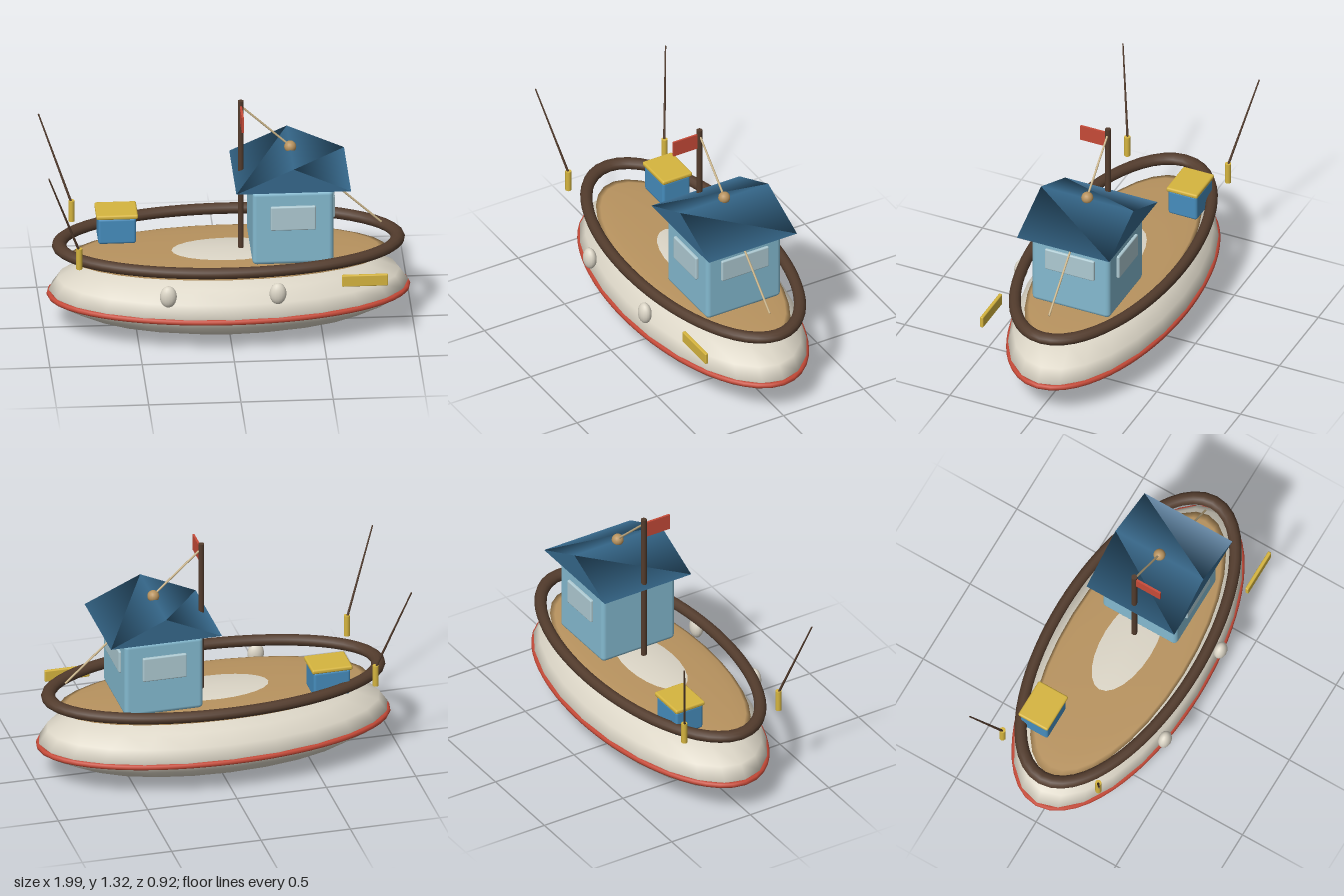
import * as THREE from 'three';
import { RoundedBoxGeometry } from 'three/addons/geometries/RoundedBoxGeometry.js';

const mat = (name, color) => Object.assign(new THREE.MeshStandardMaterial({ color }), { name });
const V = (x, y, z) => new THREE.Vector3(x, y, z);
const ZC = -0.012; // centre line of the boat

export function createModel() {
  const model = new THREE.Group();
  model.name = 'boat';

  const cream = mat('cream paint', 0xdbd5c6);
  const red = mat('red paint', 0xc64a38);
  const tan = mat('tan wood', 0xb8935f);
  const brown = mat('dark brown wood', 0x533c2d);
  const paleBlue = mat('pale blue paint', 0x84bad0);
  const roofBlue = mat('deep blue roof', 0x35678a);
  const glass = mat('window glass', 0xaecad2);
  const yellow = mat('yellow paint', 0xd6b53f);
  const crateBlue = mat('crate blue', 0x468dbd);
  const rope = mat('rope', 0xc8b287);

  const add = (name, geometry, material, x = 0, y = 0, z = 0) => {
    const mesh = new THREE.Mesh(geometry, material);
    mesh.name = name;
    mesh.position.set(x, y, z);
    model.add(mesh);
    return mesh;
  };
  const ellipsoid = (name, material, pos, radii, w = 24, h = 10) => {
    const mesh = add(name, new THREE.SphereGeometry(1, w, h), material, ...pos);
    mesh.scale.set(...radii);
    return mesh;
  };
  const box = (name, material, pos, size, r) =>
    add(name, new RoundedBoxGeometry(...size, 2, r), material, ...pos);
  // Round bar between two points
  const bar = (name, material, a, b, r0, r1 = r0, sides = 8) => {
    const d = b.clone().sub(a);
    const mid = a.clone().add(b).multiplyScalar(0.5);
    const mesh = add(name, new THREE.CylinderGeometry(r1, r0, d.length(), sides), material, mid.x, mid.y, mid.z);
    mesh.quaternion.setFromUnitVectors(V(0, 1, 0), d.normalize());
    return mesh;
  };
  // Oval ring lying flat
  const ring = (name, material, y, rx, rz, tube, widen, sides) => {
    const pts = [];
    for (let i = 0; i < 48; i++) {
      const t = (i / 48) * Math.PI * 2;
      pts.push(V((Math.cos(t) * rx) / widen, 0, Math.sin(t) * rz));
    }
    const curve = new THREE.CatmullRomCurve3(pts, true);
    const mesh = add(name, new THREE.TubeGeometry(curve, 64, tube, sides, true), material, 0.003, y, ZC);
    mesh.scale.x = widen;
  };

  // Hull, deck, waterline stripe and rail
  ellipsoid('hull', cream, [0.003, 0.222, ZC], [0.975, 0.222, 0.436]);
  ellipsoid('deck', tan, [0.003, 0.411, ZC], [0.862, 0.023, 0.348], 32, 10);
  ring('waterlineStripe', red, 0.197, 0.97, 0.429, 0.016, 1, 8);
  ring('rail', brown, 0.481, 0.918, 0.405, 0.031, 1.25, 12);

  // Cabin with windows on three sides
  box('cabin', paleBlue, [0.338, 0.655, ZC], [0.44, 0.436, 0.464], 0.025);
  for (const side of [1, -1]) {
    box('sideWindow', glass, [0.338, 0.72, ZC + side * 0.237], [0.245, 0.142, 0.022], 0.008);
  }
  box('bowWindow', glass, [0.56, 0.735, ZC], [0.022, 0.13, 0.294], 0.008);

  // Roof: three-sided prism with its ridge running across the boat
  const roofGeo = new THREE.CylinderGeometry(0.359, 0.359, 0.55, 3);
  roofGeo.rotateX(-Math.PI / 2);
  const roof = add('roof', roofGeo, roofBlue, 0.338, 0.935, ZC);
  roof.scale.y = 0.26;
  ellipsoid('roofKnob', tan, [0.338, 1.035, ZC], [0.033, 0.033, 0.033], 16, 12);

  // Mast, flag and stays
  bar('mast', brown, V(0.07, 0.42, ZC), V(0.07, 1.318, ZC), 0.016, 0.016, 12);
  add('flag', new THREE.BoxGeometry(0.012, 0.09, 0.15), red, 0.07, 1.248, 0.077);
  bar('mastStay', rope, V(0.075, 1.283, ZC), V(0.338, 1.04, ZC), 0.006);
  bar('bowStay', rope, V(0.485, 0.888, ZC), V(0.831, 0.568, ZC), 0.006);

  // Fishing rods in their holders
  for (const side of [1, -1]) {
    const at = (x, y, z) => V(x, y, ZC + side * z);
    bar('rodHolder', yellow, at(-0.826, 0.484, 0.3), at(-0.826, 0.606, 0.3), 0.017, 0.017, 12);
    bar('fishingRod', brown, at(-0.822, 0.58, 0.296), at(-0.998, 1.08, 0.406), 0.007, 0.004);
  }

  // Crate with lid
  box('crate', crateBlue, [-0.592, 0.508, -0.195], [0.206, 0.152, 0.172], 0.015);
  box('crateLid', yellow, [-0.592, 0.593, -0.195], [0.226, 0.026, 0.185], 0.01);

  // Fenders and name board on the front side
  for (const x of [-0.353, 0.241]) {
    ellipsoid('fender', cream, [x, 0.368, 0.428], [0.046, 0.062, 0.035], 16, 12);
  }
  box('nameBoard', yellow, [0.715, 0.412, 0.386], [0.25, 0.067, 0.02], 0.006);

  return model;
}
